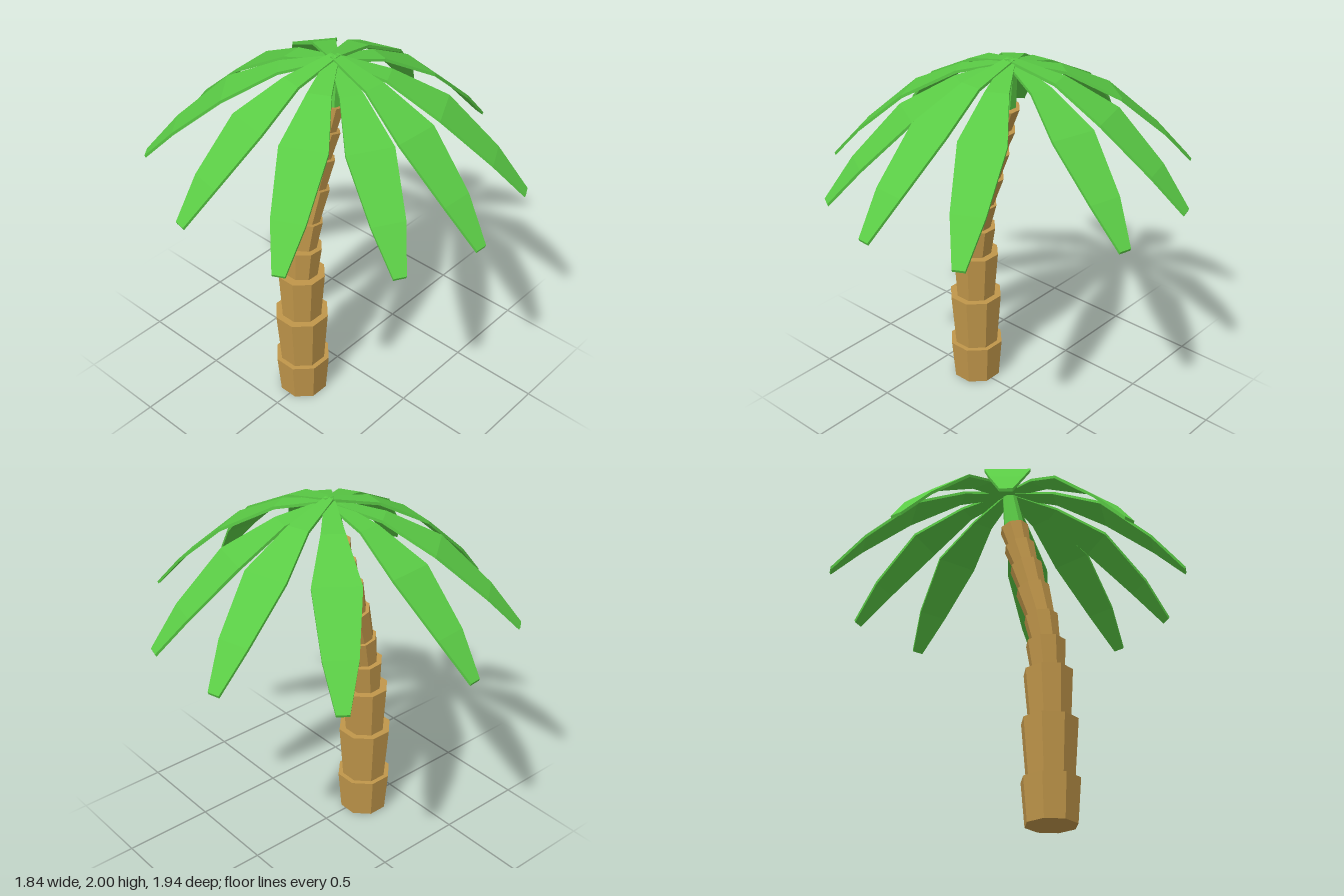
import * as THREE from 'three';

const BARK = new THREE.MeshStandardMaterial({ color: 0xc0964a, flatShading: true });
const LEAF = new THREE.MeshStandardMaterial({ color: 0x5acb45, flatShading: true });
const UP = new THREE.Vector3(0, 1, 0);

// Eight-sided tapered piece running from point a to point b
function taperedPiece(a, b, rBottom, rTop, material, name) {
  const dir = b.clone().sub(a);
  const geo = new THREE.CylinderGeometry(rTop, rBottom, dir.length(), 8);
  geo.rotateY(Math.PI / 8);
  const mesh = new THREE.Mesh(geo, material);
  mesh.name = name;
  mesh.position.copy(a).add(b).multiplyScalar(0.5);
  mesh.quaternion.setFromUnitVectors(UP, dir.normalize());
  return mesh;
}

// Thin drooping frond along +x: [distance, drop, half width] cross-sections, both as fractions of reach/fall
function frondGeometry(reach, fall) {
  const sections = [
    [0.0, 0.0, 0.025], [0.28, 0.1, 0.06], [0.56, 0.325, 0.12], [0.83, 0.7, 0.085], [1, 1, 0.032],
  ];
  const thick = 0.014;
  const pos = [], idx = [];
  for (const [d, f, w] of sections) {
    const x = d * reach, y = -f * fall;
    // corners in order: top -z, top +z, bottom +z, bottom -z
    pos.push(x, y, -w, x, y, w, x - thick * 0.4, y - thick, w, x - thick * 0.4, y - thick, -w);
  }
  const last = (sections.length - 1) * 4;
  for (let s = 0; s < last; s += 4) {
    for (let k = 0; k < 4; k++) {
      const a = s + k, b = s + (k + 1) % 4;
      idx.push(a, b, b + 4, a, b + 4, a + 4);
    }
  }
  idx.push(0, 3, 2, 0, 2, 1, last, last + 1, last + 2, last, last + 2, last + 3);
  const geo = new THREE.BufferGeometry();
  geo.setAttribute('position', new THREE.Float32BufferAttribute(pos, 3));
  geo.setIndex(idx);
  geo.computeVertexNormals();
  return geo;
}

export function createModel() {
  const model = new THREE.Group();
  model.name = 'palmTree';

  // Curved trunk: joint centre x, y and the flared radii of the piece above it
  const trunk = new THREE.Group();
  trunk.name = 'trunk';
  const joints = [
    [-0.275, 0, 0.135, 0.154], [-0.275, 0.23, 0.126, 0.15], [-0.275, 0.54, 0.112, 0.131],
    [-0.27, 0.81, 0.09, 0.106], [-0.257, 0.98, 0.077, 0.092], [-0.228, 1.135, 0.075, 0.093],
    [-0.175, 1.318, 0.073, 0.09], [-0.13, 1.475, 0.068, 0.086], [-0.085, 1.615, 0.064, 0.081],
    [-0.05, 1.745, 0.06, 0.04], [-0.015, 1.965, 0, 0],
  ].map(([x, y, r0, r1]) => ({ p: new THREE.Vector3(x, y, -0.012), r0, r1 }));
  for (let i = 0; i < joints.length - 1; i++) {
    const green = i === joints.length - 2;
    const { p, r0, r1 } = joints[i];
    trunk.add(taperedPiece(p, joints[i + 1].p, r0, r1, green ? LEAF : BARK, green ? 'crownShaft' : 'trunkSegment'));
  }
  model.add(trunk);

  // Fronds: tip x, z, y, all springing from the crown
  const fronds = new THREE.Group();
  fronds.name = 'fronds';
  const crown = new THREE.Vector3(-0.012, 1.985, -0.012);
  const tips = [
    [-0.09, -0.97, 1.37], [0.57, -0.79, 1.375], [0.907, -0.27, 1.37], [0.907, 0.23, 1.37],
    [0.45, 0.86, 1.365], [-0.065, 0.965, 1.365], [-0.49, 0.825, 1.37], [-0.865, 0.425, 1.39],
    [-0.917, -0.18, 1.395], [-0.62, -0.775, 1.395],
  ];
  tips.forEach(([x, z, y], i) => {
    const dx = x - crown.x, dz = z - crown.z;
    const top = crown.y + (i % 3) * 0.007;
    const frond = new THREE.Mesh(frondGeometry(Math.hypot(dx, dz), top - y), LEAF);
    frond.name = 'frond';
    frond.position.set(crown.x, top, crown.z);
    frond.rotation.y = -Math.atan2(dz, dx);
    fronds.add(frond);
  });
  model.add(fronds);
  return model;
}
